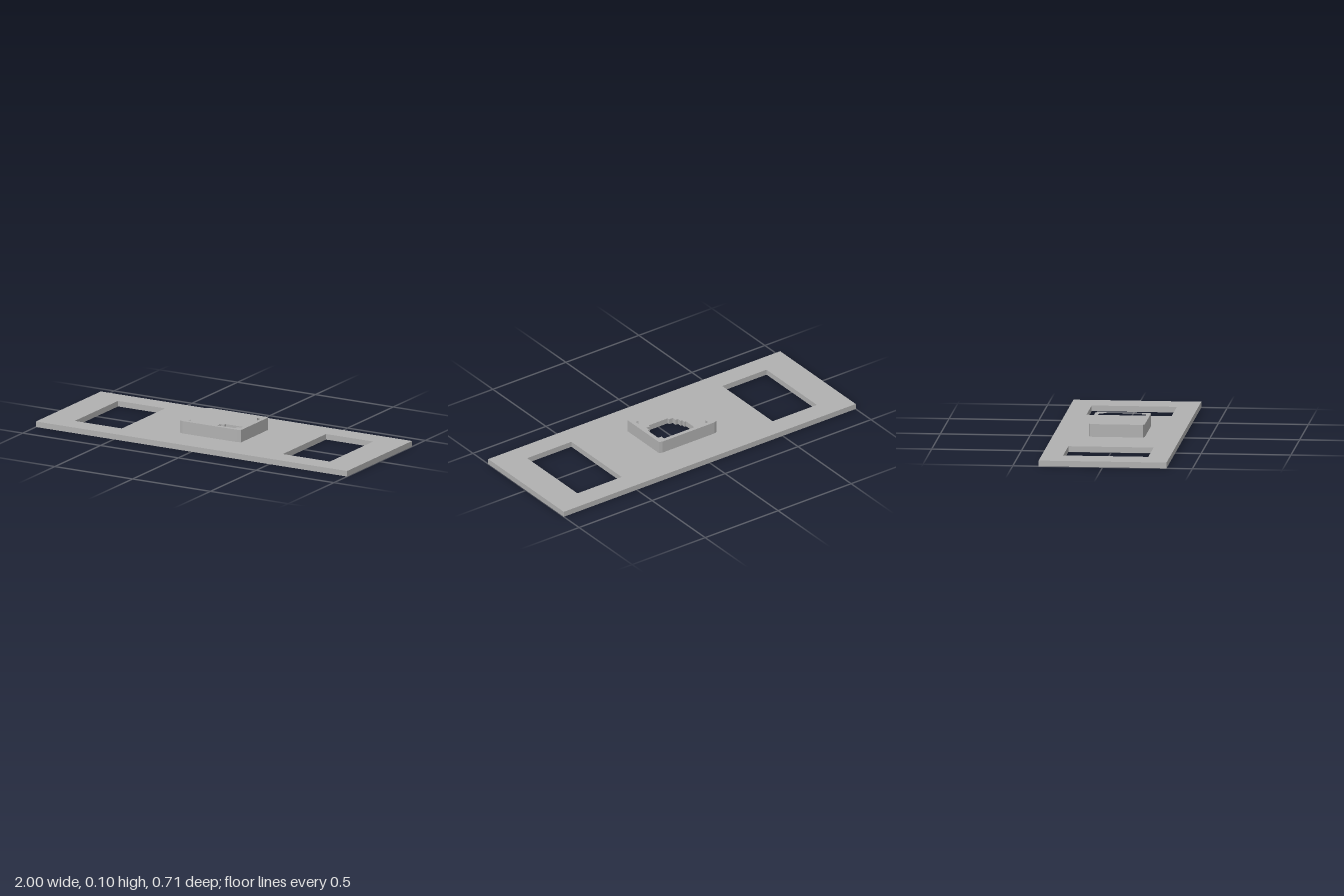
import * as THREE from 'three';

const PLATE_H = 0.032;
const TOP_H = 0.103;

// Mirror one quadrant (running from the z side to the x side) into a closed outline
function mirrorQuadrant(q) {
  const rev = [...q].reverse();
  return [
    ...q,
    ...rev.map(([x, y]) => [x, -y]),
    ...q.map(([x, y]) => [-x, -y]),
    ...rev.map(([x, y]) => [-x, y]),
  ].map(([x, y]) => new THREE.Vector2(x, y));
}

const rect = (x0, x1, h) =>
  [[x0, -h], [x1, -h], [x1, h], [x0, h]].map(([x, y]) => new THREE.Vector2(x, y));

// Flat slab with holes, lying in the xz plane between two heights
function slab(name, outline, holes, y0, y1, material) {
  const shape = new THREE.Shape(outline);
  shape.holes = holes.map((h) => new THREE.Path(h));
  const geo = new THREE.ExtrudeGeometry(shape, { depth: y1 - y0, bevelEnabled: false });
  geo.rotateX(-Math.PI / 2);
  geo.translate(0, y0, 0);
  const mesh = new THREE.Mesh(geo, material);
  mesh.name = name;
  return mesh;
}

export function createModel() {
  const group = new THREE.Group();
  group.name = 'mountingPlate';
  const grey = new THREE.MeshStandardMaterial({ color: 0xb0b0b0 });
  grey.name = 'grey';

  // Stepped round opening
  const steppedHole = mirrorQuadrant([
    [0.065, 0.13], [0.065, 0.117], [0.09, 0.117], [0.09, 0.09], [0.107, 0.09],
    [0.107, 0.065], [0.118, 0.065], [0.118, 0.043], [0.128, 0.043],
  ]);

  // Base plate with two windows and the central opening
  group.add(slab('basePlate', rect(-1, 1, 0.356),
    [rect(-0.82, -0.517, 0.237), rect(0.517, 0.82, 0.237), steppedHole], 0, PLATE_H, grey));

  // Raised collar: clipped outer corners, notched inner corners
  const outer = mirrorQuadrant([[0.177, 0.155], [0.197, 0.148]]);
  const inner = mirrorQuadrant([
    [0.15, 0.132], [0.15, 0.107], [0.173, 0.107],
  ]);
  group.add(slab('collar', outer, [inner], PLATE_H, TOP_H, grey));

  return group;
}
